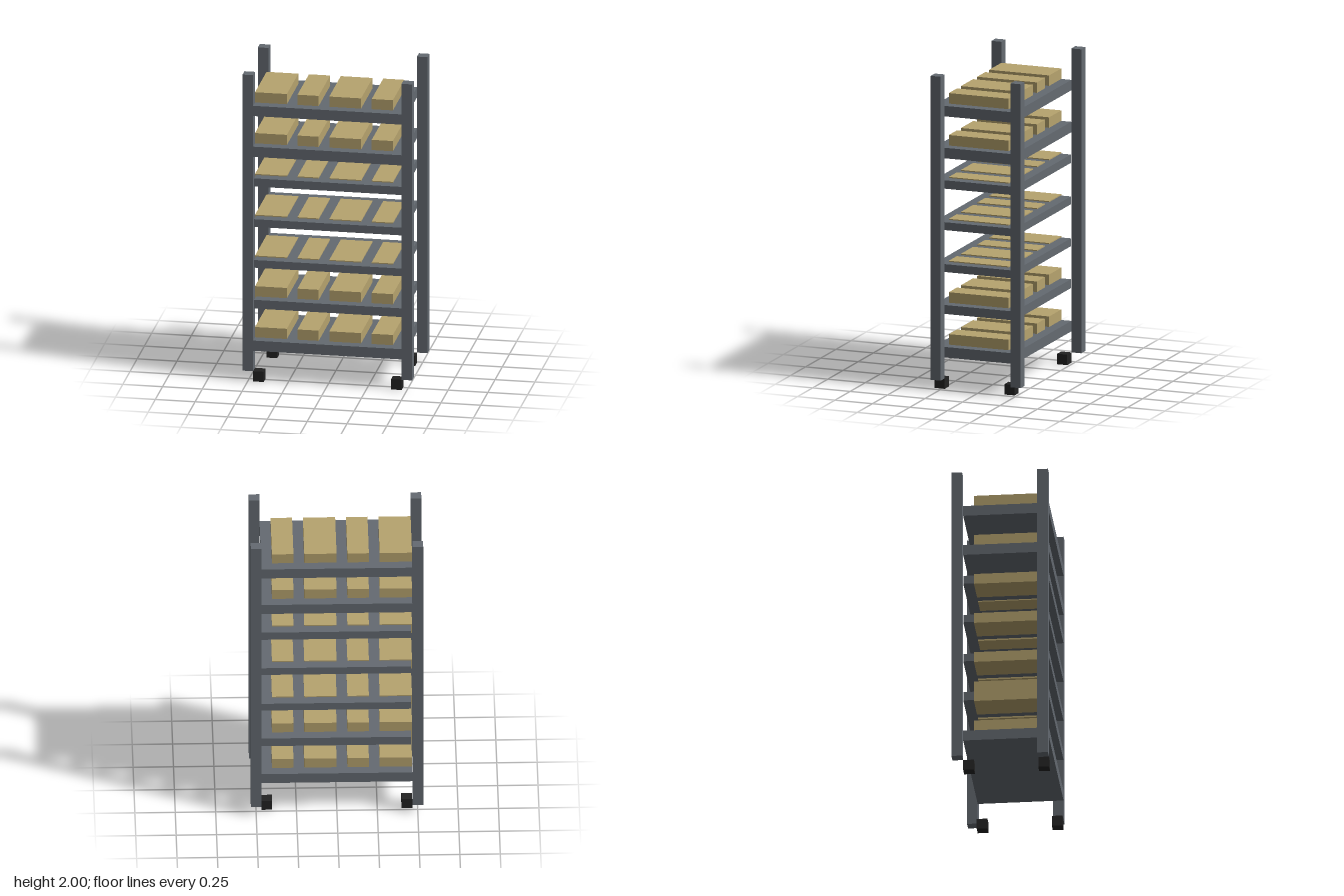
import * as THREE from 'three';

// The rack is laid out on a grid of 1/15 unit
const U = 1 / 15;

export function createModel() {
  const model = new THREE.Group();
  model.name = 'storageRack';
  const steel = new THREE.MeshStandardMaterial({ name: 'steelGrey', color: 0x646a71 });
  const card = new THREE.MeshStandardMaterial({ name: 'cardboardTan', color: 0xb6a36e });
  const rubber = new THREE.MeshStandardMaterial({ name: 'rubberBlack', color: 0x222222 });

  // Box given by its minimum and maximum corners in grid units
  function addBox(parent, name, material, [x0, y0, z0], [x1, y1, z1]) {
    const geometry = new THREE.BoxGeometry((x1 - x0) * U, (y1 - y0) * U, (z1 - z0) * U);
    const mesh = new THREE.Mesh(geometry, material);
    mesh.name = name;
    mesh.position.set((x0 + x1) / 2 * U, (y0 + y1) / 2 * U, (z0 + z1) / 2 * U);
    parent.add(mesh);
  }

  // Corner posts, with casters set inward
  for (const [side, postX, casterX] of [['Right', -8, -7], ['Left', 7, 6]]) {
    for (const [end, postZ, casterZ] of [['front', 3.5, 3.5], ['back', -4.5, -3.5]]) {
      addBox(model, `${end}${side}Post`, steel, [postX, 1, postZ], [postX + 1, 30, postZ + 1]);
      addBox(model, `${end}${side}Caster`, rubber, [casterX, 0, casterZ], [casterX + 1, 1, casterZ + 1]);
    }
  }

  // Shelf levels: shelf bottom and top, carton bottom and top, right edge of the shelf
  const levels = [
    [3, 4, 4, 5, -7],
    [7.15, 8, 7, 9, -6.9],
    [11.15, 11.9, 11, 12, -6.9],
    [15.15, 15.9, 15, 16, -6.9],
    [19.1, 19.9, 19, 20, -6.9],
    [22, 23, 23, 24, -7],
    [26, 27, 27, 28, -7],
  ];
  const cartons = [[-7, -4], [-3, -1], [0, 3], [4, 6]];

  levels.forEach(([bottom, top, cartonBottom, cartonTop, edge], i) => {
    const level = new THREE.Group();
    level.name = `shelfLevel${i + 1}`;
    addBox(level, 'shelf', steel, [edge, bottom, -3.5], [7, top, 4.5]);
    cartons.forEach(([x0, x1], j) => {
      addBox(level, `carton${j + 1}`, card, [x0, cartonBottom, -2.5], [x1, cartonTop, 3.5]);
    });
    model.add(level);
  });

  return model;
}
